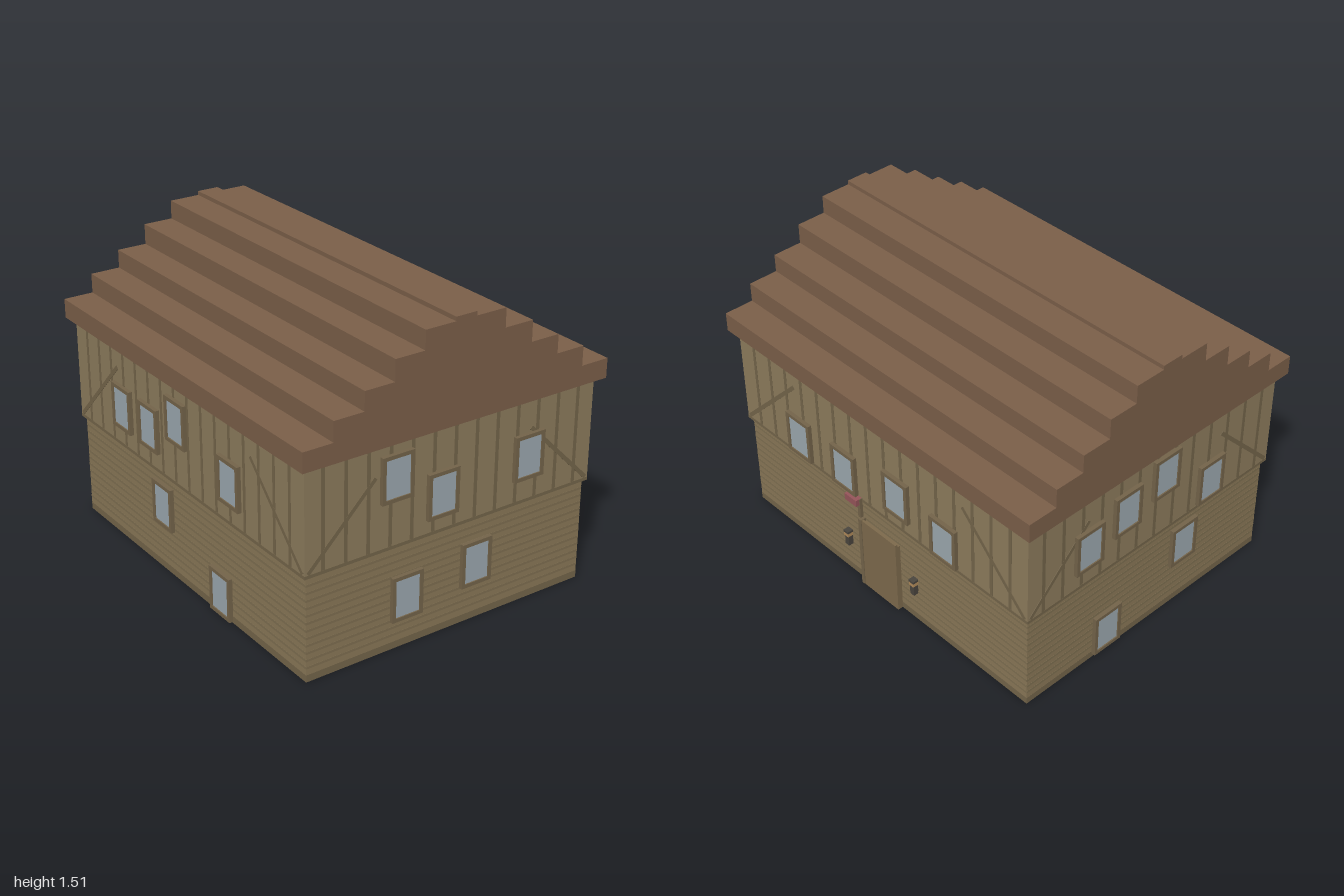
import * as THREE from 'three';

const mat = (color) => new THREE.MeshStandardMaterial({ color, flatShading: true });
const M = {
  lower: mat(0x8a7857), upper: mat(0x8d7c5d), batten: mat(0x74654a), seam: mat(0x7f6f51),
  roof: mat(0x7b5f49), frame: mat(0x74644a), glass: mat(0x9ca8af), door: mat(0x7d6a4c),
  iron: mat(0x4a453e), sign: mat(0x96555a), lamp: mat(0xb08a5a),
};

function box(parent, name, material, w, h, d, x, y, z, rot = 0) {
  const m = new THREE.Mesh(new THREE.BoxGeometry(w, h, d), material);
  m.name = name;
  m.position.set(x, y, z);
  m.rotation.z = rot;
  parent.add(m);
  return m;
}

// Window frame: a rectangle with a hole, plus a slightly recessed pane
const W = 0.165, H = 0.22, BAR = 0.018;
const rect = (C, w, h) => {
  const p = new C();
  p.moveTo(-w / 2, -h / 2);
  p.lineTo(w / 2, -h / 2);
  p.lineTo(w / 2, h / 2);
  p.lineTo(-w / 2, h / 2);
  p.closePath();
  return p;
};
const frameShape = rect(THREE.Shape, W, H);
frameShape.holes.push(rect(THREE.Path, W - 2 * BAR, H - 2 * BAR));
const frameGeo = new THREE.ExtrudeGeometry(frameShape, { depth: 0.02, bevelEnabled: false });

function addWindow(parent, u, y, z) {
  const g = new THREE.Group();
  g.name = 'window';
  const frame = new THREE.Mesh(frameGeo, M.frame);
  frame.name = 'windowFrame';
  g.add(frame);
  box(g, 'windowPane', M.glass, W - 2 * BAR, H - 2 * BAR, 0.014, 0, 0, 0.007);
  g.position.set(u, y, z);
  parent.add(g);
}

// Each wall is laid out in its own plane: u runs right as seen from outside
const walls = [
  { name: 'frontWall', turn: 0, half: 0.96, depth: 0.775,
    up: [[-0.52, 0.72], [-0.275, 0.72], [-0.03, 0.835], [0.405, 0.72]],
    low: [[-0.2, 0.345], [0.29, 0.115]] },
  { name: 'leftWall', turn: Math.PI / 2, half: 0.775, depth: 0.96,
    up: [[-0.315, 0.85], [-0.07, 0.7], [0.405, 0.74]],
    low: [[-0.24, 0.25], [0.14, 0.29]] },
  { name: 'backWall', turn: Math.PI, half: 0.96, depth: 0.775,
    up: [[-0.54, 0.64], [-0.22, 0.64], [0.14, 0.7], [0.45, 0.64]], low: [] },
  { name: 'rightWall', turn: -Math.PI / 2, half: 0.775, depth: 0.96,
    up: [[-0.42, 0.72], [-0.19, 0.79], [0.05, 0.855], [0.36, 0.645]],
    low: [[-0.27, 0.13], [0.22, 0.345]] },
];

function addWall(house, { name, turn, half, depth, up, low }) {
  const g = new THREE.Group();
  g.name = name;
  g.rotation.y = turn;
  house.add(g);
  const lowHalf = half - 0.016, lowDepth = depth - 0.016;

  // Vertical battens on the upper storey
  const n = Math.floor((2 * half - 0.1) / 0.114);
  for (let i = 0; i <= n; i++) {
    box(g, 'batten', M.batten, 0.018, 0.5, 0.003, (i - n / 2) * 0.114, 0.765, depth);
  }
  // Diagonal corner braces
  const run = half > 0.9 ? 0.38 : 0.34;
  for (const s of [-1, 1]) {
    box(g, 'brace', M.batten, run * Math.SQRT2, 0.02, 0.004,
      s * (half - 0.015 - run / 2), 0.53 + run / 2, depth, -s * Math.PI / 4);
  }
  // Horizontal plank seams on the lower storey
  for (let i = 0; i < 12; i++) {
    box(g, 'plankSeam', M.seam, 2 * lowHalf, 0.012, 0.002, 0, 0.07 + i * 0.036, lowDepth);
  }
  box(g, 'baseBoard', M.batten, 2 * lowHalf, 0.035, 0.002, 0, 0.0175, lowDepth);
  box(g, 'sillBoard', M.batten, 2 * half, 0.016, 0.004, 0, 0.518, depth);

  up.forEach(([u, y]) => addWindow(g, u, y, depth));
  low.forEach(([u, y]) => addWindow(g, u, y, lowDepth));
  return g;
}

// Stepped gable profile extruded along the ridge
function addRoof(house) {
  const steps = [[0.81, 1.115], [0.66, 1.21], [0.51, 1.3], [0.36, 1.4], [0.21, 1.49], [0.055, 1.51]];
  const right = [];
  let y = 1.02;
  for (const [z, top] of steps) {
    right.push([z, y], [z, top]);
    y = top;
  }
  const left = right.map(([z, h]) => [-z, h]).reverse();
  const shape = new THREE.Shape([...right, ...left].map(([z, h]) => new THREE.Vector2(z, h)));
  const geo = new THREE.ExtrudeGeometry(shape, { depth: 2, bevelEnabled: false });
  geo.translate(0, 0, -1);
  geo.rotateY(Math.PI / 2);
  const roof = new THREE.Mesh(geo, M.roof);
  roof.name = 'steppedRoof';
  house.add(roof);
}

// Door, lanterns and hanging sign on the back wall
function addEntrance(wall) {
  const z = 0.759;
  box(wall, 'door', M.door, 0.235, 0.385, 0.018, 0.005, 0.1925, z + 0.009);
  box(wall, 'doorPost', M.frame, 0.02, 0.4, 0.03, -0.125, 0.2, z + 0.015);
  box(wall, 'doorLeaf', M.door, 0.235, 0.4, 0.012, 0.005, 0.2, z + 0.022);
  for (const u of [-0.235, 0.225]) {
    box(wall, 'lanternBracket', M.iron, 0.026, 0.07, 0.026, u, 0.205, z + 0.013);
    box(wall, 'lanternLight', M.lamp, 0.03, 0.02, 0.03, u, 0.235, z + 0.015);
    box(wall, 'lanternCap', M.iron, 0.032, 0.012, 0.031, u, 0.251, z + 0.0155);
  }
  box(wall, 'signPost', M.frame, 0.018, 0.11, 0.016, -0.12, 0.475, 0.783);
  box(wall, 'signBoard', M.sign, 0.08, 0.035, 0.035, -0.155, 0.5125, 0.7925);
}

export function createModel() {
  const house = new THREE.Group();
  house.name = 'house';
  box(house, 'lowerStorey', M.lower, 1.888, 0.51, 1.518, 0, 0.255, 0);
  box(house, 'upperStorey', M.upper, 1.92, 0.51, 1.55, 0, 0.765, 0);
  const built = walls.map((w) => addWall(house, w));
  addEntrance(built[2]);
  addRoof(house);
  return house;
}
